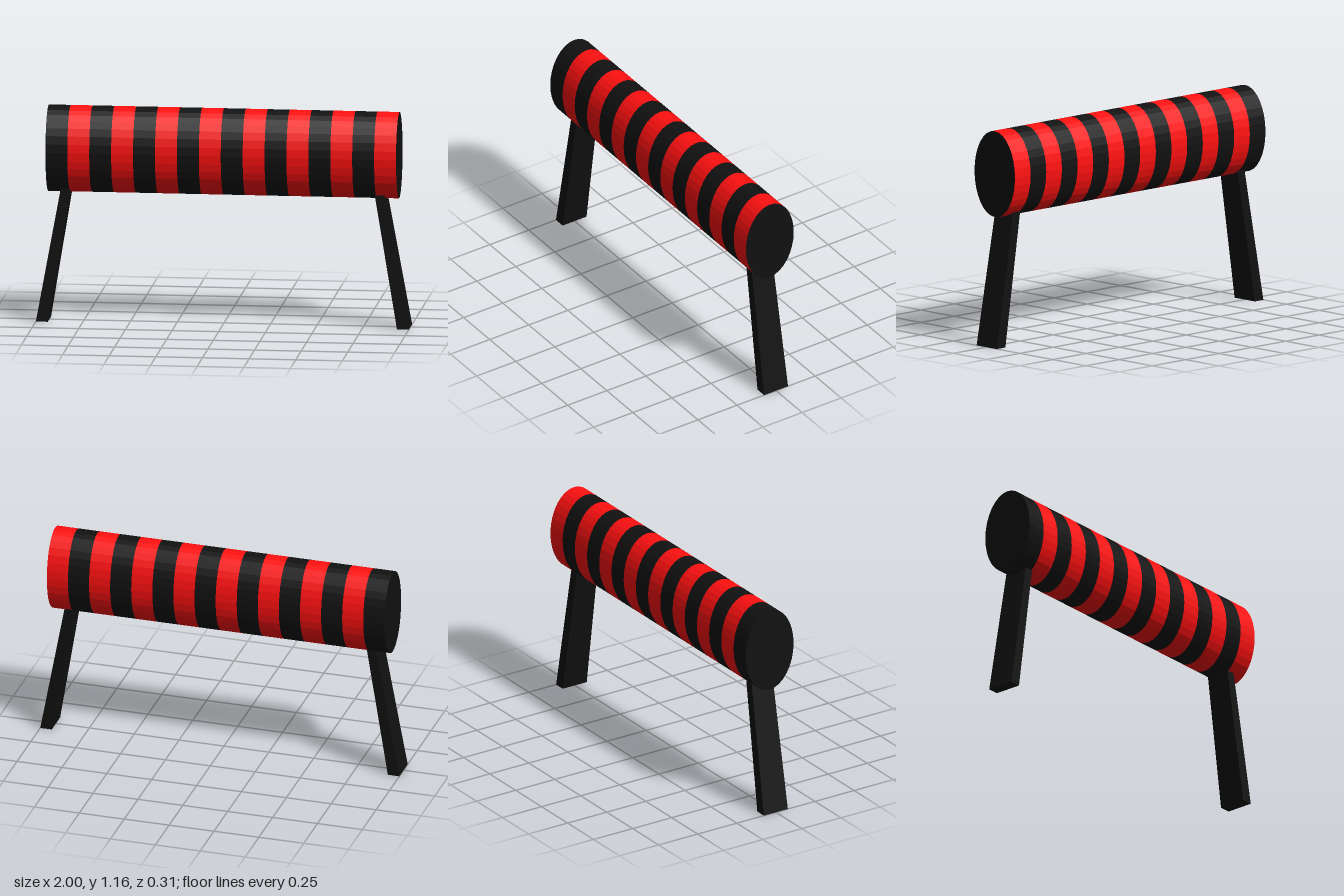
import * as THREE from 'three';

export function createModel() {
  const model = new THREE.Group();
  const black = new THREE.MeshStandardMaterial({ color: 0x111111, flatShading: true });
  const red = new THREE.MeshStandardMaterial({ color: 0xff1010, flatShading: true });
  const add = (name, geometry, material) => {
    const mesh = new THREE.Mesh(geometry, material);
    mesh.name = name;
    model.add(mesh);
    return mesh;
  };

  const SIDES = 32, BANDS = 16, HALF = 0.94, RY = 0.233, RZ = 0.153, CENTER_Y = 0.93;
  const bandWidth = (2 * HALF) / BANDS;

  // Striped oval beam: alternating open bands along x
  const band = new THREE.CylinderGeometry(1, 1, bandWidth, SIDES, 1, true)
    .rotateZ(Math.PI / 2).scale(1, RY, RZ);
  for (let i = 0; i < BANDS; i++) {
    const mesh = add(i % 2 ? 'redBand' : 'blackBand', band, i % 2 ? red : black);
    mesh.position.set(-HALF + (i + 0.5) * bandWidth, CENTER_Y, 0);
  }

  // Oval end caps and splayed, tapering legs
  for (const side of [-1, 1]) {
    const cap = new THREE.CircleGeometry(1, SIDES)
      .scale(RZ, RY, 1).rotateY(side * Math.PI / 2);
    add(side > 0 ? 'leftEndCap' : 'rightEndCap', cap, black).position.set(side * HALF, CENTER_Y, 0);

    const leg = new THREE.BoxGeometry(1, 1, 1);
    const p = leg.attributes.position;
    for (let i = 0; i < p.count; i++) {
      const top = p.getY(i) > 0;
      const middle = side * (top ? 0.837 : 0.968);
      p.setXYZ(i,
        middle + p.getX(i) * (top ? 0.051 : 0.064),
        top ? 0.75 : 0,
        p.getZ(i) * (top ? 0.134 : 0.153));
    }
    leg.computeVertexNormals();
    add(side > 0 ? 'leftLeg' : 'rightLeg', leg, black);
  }
  return model;
}
